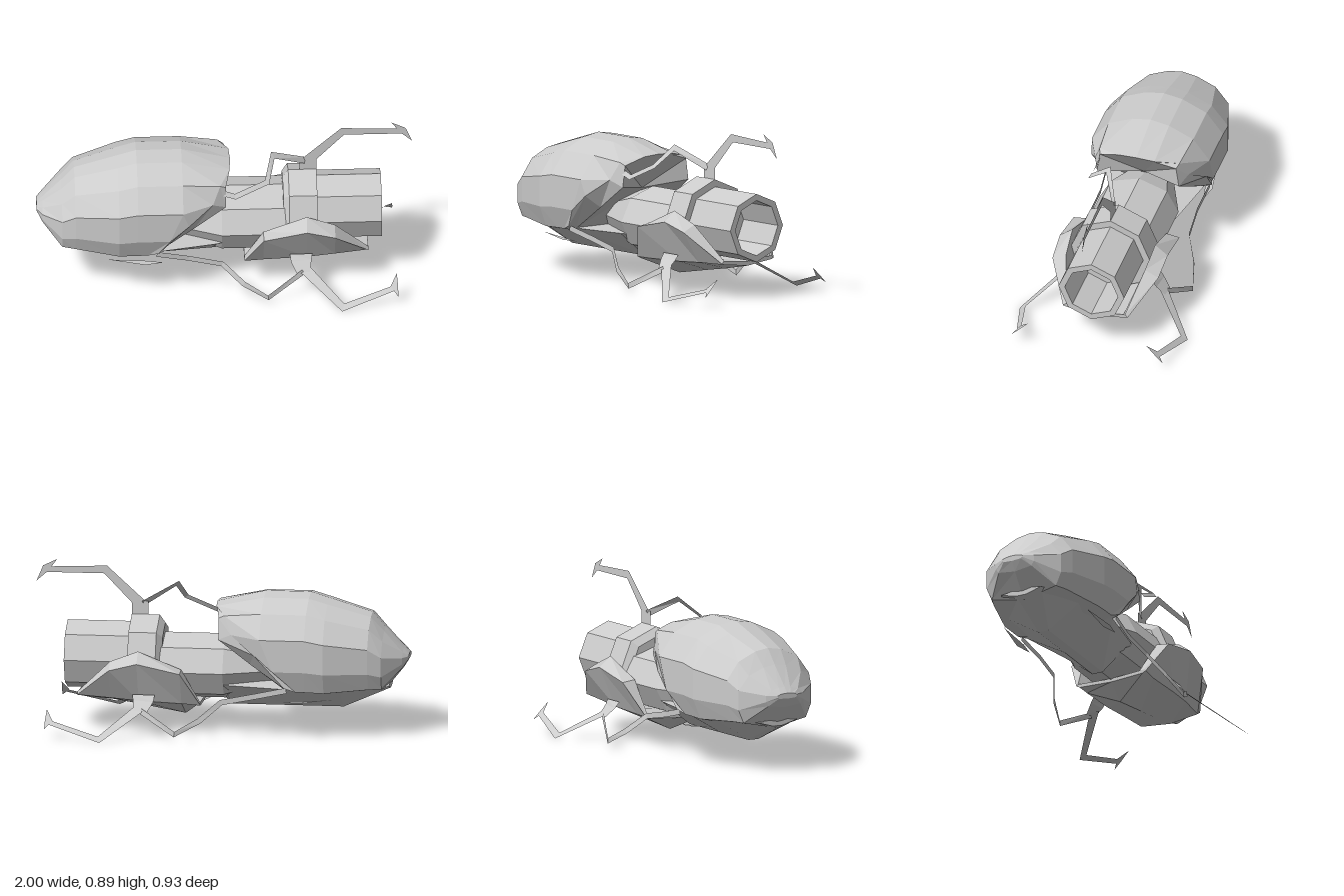
import * as THREE from 'three';

const solid = () => new THREE.MeshStandardMaterial({ color: 0xcccccc, flatShading: true });
const sheet = () => new THREE.MeshStandardMaterial({ color: 0xcccccc, flatShading: true, side: THREE.DoubleSide });

function meshFrom(name, positions, material) {
  const g = new THREE.BufferGeometry();
  g.setAttribute('position', new THREE.Float32BufferAttribute(positions, 3));
  g.computeVertexNormals();
  const m = new THREE.Mesh(g, material);
  m.name = name;
  return m;
}

// Half section (top to bottom, z >= 0) to a closed symmetric ring
const mirrorRing = (half) => [
  ...half,
  ...half.filter((p) => p[2] > 0).reverse().map(([x, y, z]) => [x, y, -z]),
];

// Skin over rings that advance along +x, with fan caps at both ends
function loft(name, halves) {
  const rings = halves.map(mirrorRing);
  const n = rings[0].length;
  const pos = [];
  const tri = (a, b, c) => pos.push(...a, ...b, ...c);
  const mid = (r) => [0, 1, 2].map((k) => r.reduce((s, p) => s + p[k], 0) / n);
  const last = rings[rings.length - 1];
  for (let j = 0; j < n; j++) {
    const k = (j + 1) % n;
    for (let i = 0; i + 1 < rings.length; i++) {
      const [r, q] = [rings[i], rings[i + 1]];
      tri(r[j], r[k], q[k]);
      tri(r[j], q[k], q[j]);
    }
    tri(mid(rings[0]), rings[0][k], rings[0][j]);
    tri(mid(last), last[j], last[k]);
  }
  return meshFrom(name, pos, solid());
}

// Flat ribbon along points [x, y, z, width], lying across the normal
function strip(name, pts, normal) {
  const P = pts.map((p) => new THREE.Vector3(p[0], p[1], p[2]));
  const edges = P.map((p, i) => {
    const t = P[Math.min(i + 1, P.length - 1)].clone().sub(P[Math.max(i - 1, 0)]);
    const side = t.cross(normal).normalize().multiplyScalar(pts[i][3] / 2);
    return [p.clone().add(side).toArray(), p.clone().sub(side).toArray()];
  });
  const pos = [];
  for (let i = 0; i + 1 < edges.length; i++) {
    const [[a, b], [d, c]] = [edges[i], edges[i + 1]];
    pos.push(...a, ...b, ...c, ...a, ...c, ...d);
  }
  return meshFrom(name, pos, sheet());
}

// Eight-sided turned part along x from [radius, x] pairs
function turned(name, profile, y, squash = 1) {
  const g = new THREE.LatheGeometry(profile.map(([r, x]) => new THREE.Vector2(r, x)), 8);
  g.rotateZ(-Math.PI / 2);
  g.scale(1, squash, 1);
  const m = new THREE.Mesh(g, solid());
  m.position.y = y;
  m.name = name;
  return m;
}

export function createModel() {
  const model = new THREE.Group();
  model.name = 'deviceWithClaws';

  // Rounded rear shell, swept-back rim and bevelled front face
  const section = [[0, 1], [0.31, 0.97], [0.72, 0.86], [1, 0.64], [1, 0.33], [0.86, 0.12], [0, 0]];
  const limit = [1, 1, 1, 1, -0.3, -0.42, -0.42];
  const stations = [ // x, top, bottom, half width
    [-1, 0.44, 0.41, 0.06], [-0.97, 0.47, 0.36, 0.115], [-0.87, 0.575, 0.235, 0.225], [-0.8, 0.655, 0.225, 0.255],
    [-0.57, 0.725, 0.2, 0.325], [-0.47, 0.755, 0.2, 0.328], [-0.23, 0.755, 0.2, 0.328],
  ];
  const shell = stations.map(([x, top, bot, w]) =>
    section.map(([u, v], j) => [Math.min(x, limit[j]), bot + v * (top - bot), u * w]));
  const rim = [
    [0.03, 0.692, 0], [0.025, 0.685, 0.1], [-0.03, 0.66, 0.222], [-0.07, 0.565, 0.26],
    [-0.2, 0.47, 0.32], [-0.36, 0.29, 0.3], [-0.36, 0.2, 0],
  ];
  const face = [
    [0.025, 0.685, 0], [0.02, 0.678, 0.1], [0, 0.645, 0.212], [0, 0.53, 0.228],
    [-0.17, 0.405, 0.24], [-0.36, 0.27, 0.25], [-0.36, 0.2, 0],
  ];
  model.add(loft('rearShell', [...shell, rim, face]));

  // V-shaped belly under the shell
  const belly = [ // x, keel, half width
    [-0.9, 0.25, 0.12], [-0.65, 0.14, 0.24], [-0.36, 0.14, 0.26], [-0.05, 0.14, 0.2], [-0.02, 0.175, 0.19],
  ];
  model.add(loft('belly', belly.map(([x, y, w]) =>
    [[x, 0.29, 0], [x, 0.275, w], [x, y, 0.03], [x, y, 0]])));

  // Inner body, collar and hollow muzzle
  model.add(turned('innerBody', [[0, -0.38], [0.07, -0.38], [0.22, -0.02], [0.22, 0.32], [0, 0.32]], 0.34, 0.795));
  model.add(turned('barrel', [
    [0, 0.31], [0.18, 0.31], [0.222, 0.34], [0.222, 0.49], [0.183, 0.49], [0.183, 0.833],
    [0.148, 0.833], [0.148, 0.55], [0, 0.55],
  ], 0.385));

  // Keeled trough wrapped under the barrel
  const guard = [ // x, then [y, z] from trough floor over the lip to the keel
    [0.1, [0.17, 0], [0.175, 0.17], [0.18, 0.2], [0.17, 0.21], [0.16, 0.19], [0.15, 0]],
    [0.2, [0.18, 0], [0.2, 0.17], [0.36, 0.22], [0.35, 0.295], [0.17, 0.2], [0.075, 0]],
    [0.43, [0.18, 0], [0.21, 0.17], [0.455, 0.23], [0.4, 0.3], [0.18, 0.2], [0.115, 0]],
    [0.58, [0.19, 0], [0.21, 0.17], [0.395, 0.22], [0.36, 0.295], [0.19, 0.19], [0.14, 0]],
    [0.76, [0.19, 0], [0.21, 0.155], [0.215, 0.165], [0.2, 0.18], [0.195, 0.165], [0.175, 0]],
  ];
  model.add(loft('lowerGuard', guard.map(([x, ...pts]) => pts.map(([y, z]) => [x, y, z]))));

  // Upper claw, flat on the centre plane, with its zigzag link
  const up = new THREE.Vector3(0, 0, 1);
  const upper = new THREE.Group();
  upper.name = 'upperClaw';
  upper.add(
    strip('mount', [[0.445, 0.57, 0, 0.09], [0.445, 0.68, 0, 0.09]], up),
    strip('arm', [[0.43, 0.65, 0, 0.06], [0.63, 0.845, 0, 0.045], [0.95, 0.838, 0, 0.03]], up),
    strip('hook', [[0.89, 0.895, 0, 0], [0.95, 0.845, 0, 0.04], [1, 0.775, 0, 0]], up),
    strip('link', [[0.43, 0.665, 0, 0.035], [0.255, 0.76, 0.085, 0.04], [0.22, 0.665, 0.2, 0.03],
      [0.05, 0.59, 0.22, 0.03], [-0.04, 0.62, 0.215, 0.03]], new THREE.Vector3(0, 0.5, 0.85)),
  );
  model.add(upper);

  // Mirrored lower claws in slanted planes, with upright links and thin fins
  for (const s of [1, -1]) {
    const slant = new THREE.Vector3(0, 0.8, 0.6 * s);
    const part = (name, pts, n) => strip(name, pts.map(([x, y, z, w]) => [x, y, z * s, w]), n);
    const claw = new THREE.Group();
    claw.name = s > 0 ? 'lowerClawFront' : 'lowerClawBack';
    claw.add(
      part('mount', [[0.4, 0.22, 0.23, 0.12], [0.4, 0.19, 0.25, 0.11], [0.41, 0.14, 0.295, 0.07]], slant),
      part('arm', [[0.41, 0.16, 0.27, 0.06], [0.615, 0.018, 0.45, 0.045], [0.89, 0.092, 0.385, 0.03]], slant),
      part('hook', [[0.905, 0.15, 0.33, 0], [0.89, 0.1, 0.38, 0.04], [0.91, 0.06, 0.42, 0]], slant),
      part('link', [[0.41, 0.145, 0.29, 0.03], [0.22, 0.04, 0.375, 0.03], [0.09, 0.11, 0.34, 0.03],
        [-0.02, 0.2, 0.28, 0.03], [-0.2, 0.235, 0.27, 0.03], [-0.37, 0.275, 0.285, 0.03]],
      new THREE.Vector3(0, 0, 1)),
      part('fin', [[-0.63, 0.225, 0.25, 0], [-0.43, 0.205, 0.26, 0.04], [-0.33, 0.205, 0.26, 0]],
        new THREE.Vector3(0, 1, 0)),
    );
    model.add(claw);
  }
  return model;
}
